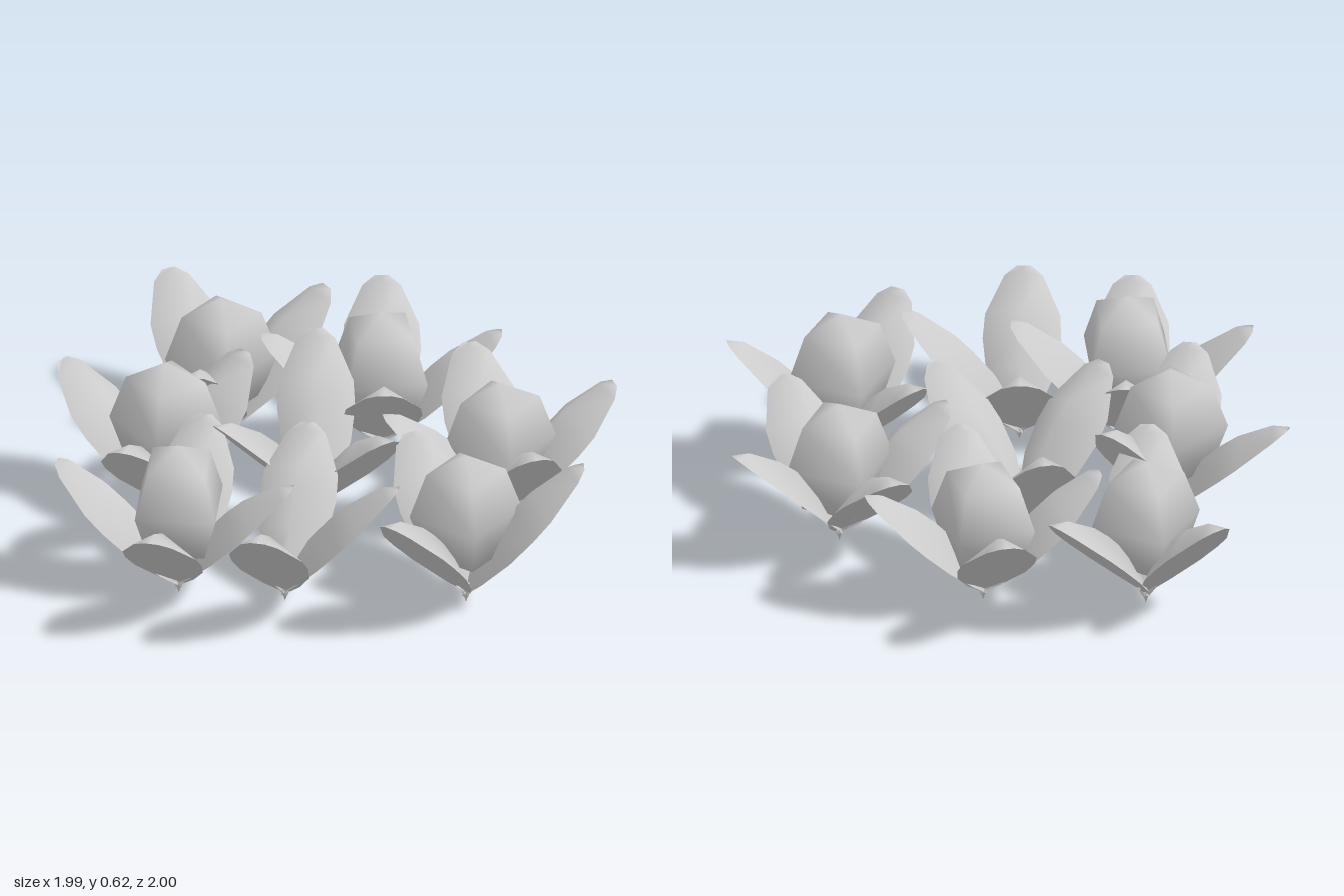
import * as THREE from 'three';

const material = new THREE.MeshStandardMaterial({ color: 0xcccccc, side: THREE.DoubleSide });

// Each flower: base position, petal tips [x, z, y], and the direction of one bud corner (or none)
const flowers = [
  { base: [-0.50, 0.04, -0.55], corner: [-0.06, -0.17], apex: 0.57,
    tips: [[-0.76, -0.88, 0.48], [-0.19, -0.87, 0.48], [-0.50, -0.13, 0.48]] },
  { base: [0.07, 0.06, -0.57], corner: [0.08, -0.18], apex: 0.57,
    tips: [[-0.02, -1.00, 0.47], [0.48, -0.67, 0.48], [0.17, -0.14, 0.48], [-0.34, -0.47, 0.48]] },
  { base: [0.58, 0.06, -0.16], corner: [-0.08, -0.18], apex: 0.57,
    tips: [[0.38, -0.58, 0.48], [0.94, -0.40, 0.48], [0.79, 0.20, 0.48], [0.20, 0.01, 0.48]] },
  { base: [-0.58, 0.06, 0.02], corner: [-0.01, -0.18], apex: 0.615,
    tips: [[-0.99, -0.17, 0.48], [-0.36, -0.29, 0.52], [-0.64, 0.45, 0.48]] },
  { base: [0.58, 0.05, 0.42], corner: [-0.07, -0.18], apex: 0.60,
    tips: [[0.31, 0.09, 0.48], [0.98, 0.31, 0.54], [0.39, 0.80, 0.49]] },
  { base: [-0.42, 0.05, 0.56], corner: [-0.15, -0.12], apex: 0.60,
    tips: [[-0.86, 0.55, 0.48], [-0.01, 0.57, 0.48], [-0.43, 0.99, 0.44], [-0.42, 0.11, 0.48]] },
  { base: [-0.04, 0.06, 0.56], apex: 0,
    tips: [[-0.05, 0.11, 0.49], [0.37, 0.57, 0.52], [-0.05, 0.98, 0.48]] },
  { base: [-0.06, 0.06, -0.07], apex: 0,
    tips: [[-0.15, -0.50, 0.52], [0.26, 0.24, 0.51], [-0.34, 0.26, 0.51]] },
];

// Petal outline: [position along the petal, half width, ridge height]
const outline = [
  [0, 0.02, 0], [0.12, 0.065, 0.045], [0.35, 0.122, 0.08], [0.55, 0.138, 0.085],
  [0.7, 0.132, 0.08], [0.94, 0.068, 0.045], [1, 0.025, 0],
];

// A petal with a flat underside and a softly ridged upper face
function petalGeometry(base, tip) {
  const axis = tip.clone().sub(base);
  const side = new THREE.Vector3(axis.z, 0, -axis.x).normalize();
  const normal = new THREE.Vector3().crossVectors(axis, side).normalize();
  const points = [], index = [];
  const add = (t, across, up) => points.push(
    ...base.clone().addScaledVector(axis, t).addScaledVector(side, across).addScaledVector(normal, up).toArray());
  // Five columns: three across the upper face, two across the underside
  for (const [t, w, h] of outline) {
    add(t, -w, 0); add(t, 0, h); add(t, w, 0);
    add(t, w, 0); add(t, -w, 0);
  }
  for (let i = 0; i < outline.length - 1; i++) {
    for (const k of [0, 1, 3]) {
      const a = i * 5 + k, b = a + 1, c = a + 5, d = a + 6;
      index.push(a, b, c, b, d, c);
    }
  }
  const geometry = new THREE.BufferGeometry();
  geometry.setAttribute('position', new THREE.Float32BufferAttribute(points, 3));
  geometry.setIndex(index);
  geometry.computeVertexNormals();
  return geometry;
}

function addMesh(group, name, geometry) {
  const mesh = new THREE.Mesh(geometry, material);
  mesh.name = name;
  group.add(mesh);
  return mesh;
}

function createFlower({ base, tips, corner, apex }) {
  const flower = new THREE.Group();
  flower.name = 'flower';
  const root = new THREE.Vector3(...base);

  for (const [x, z, y] of tips) {
    addMesh(flower, 'petal', petalGeometry(root, new THREE.Vector3(x, y, z)));
  }

  // Four-sided rounded bud
  if (corner) {
    const radius = 0.2, half = 0.23;
    const bud = addMesh(flower, 'bud', new THREE.SphereGeometry(radius, 4, 4));
    bud.scale.y = half / radius;
    bud.position.set(base[0], apex - half, base[2]);
    bud.rotation.y = Math.atan2(corner[1], -corner[0]);
  }

  // Short pointed stem with small sepals hugging the petal bases
  const stem = addMesh(flower, 'stem', new THREE.ConeGeometry(0.025, 0.08, 4));
  stem.rotation.x = Math.PI;
  stem.position.copy(root);
  for (let i = 0; i < 4; i++) {
    const angle = i * Math.PI / 2 + 0.6;
    const sepal = addMesh(flower, 'sepal', new THREE.ConeGeometry(0.018, 0.08, 3));
    const out = new THREE.Vector3(Math.cos(angle), 0.9, Math.sin(angle)).normalize();
    sepal.quaternion.setFromUnitVectors(new THREE.Vector3(0, 1, 0), out);
    sepal.position.copy(root).addScaledVector(out, 0.03);
  }
  return flower;
}

export function createModel() {
  const model = new THREE.Group();
  model.name = 'flowerCluster';
  for (const spec of flowers) model.add(createFlower(spec));
  return model;
}
